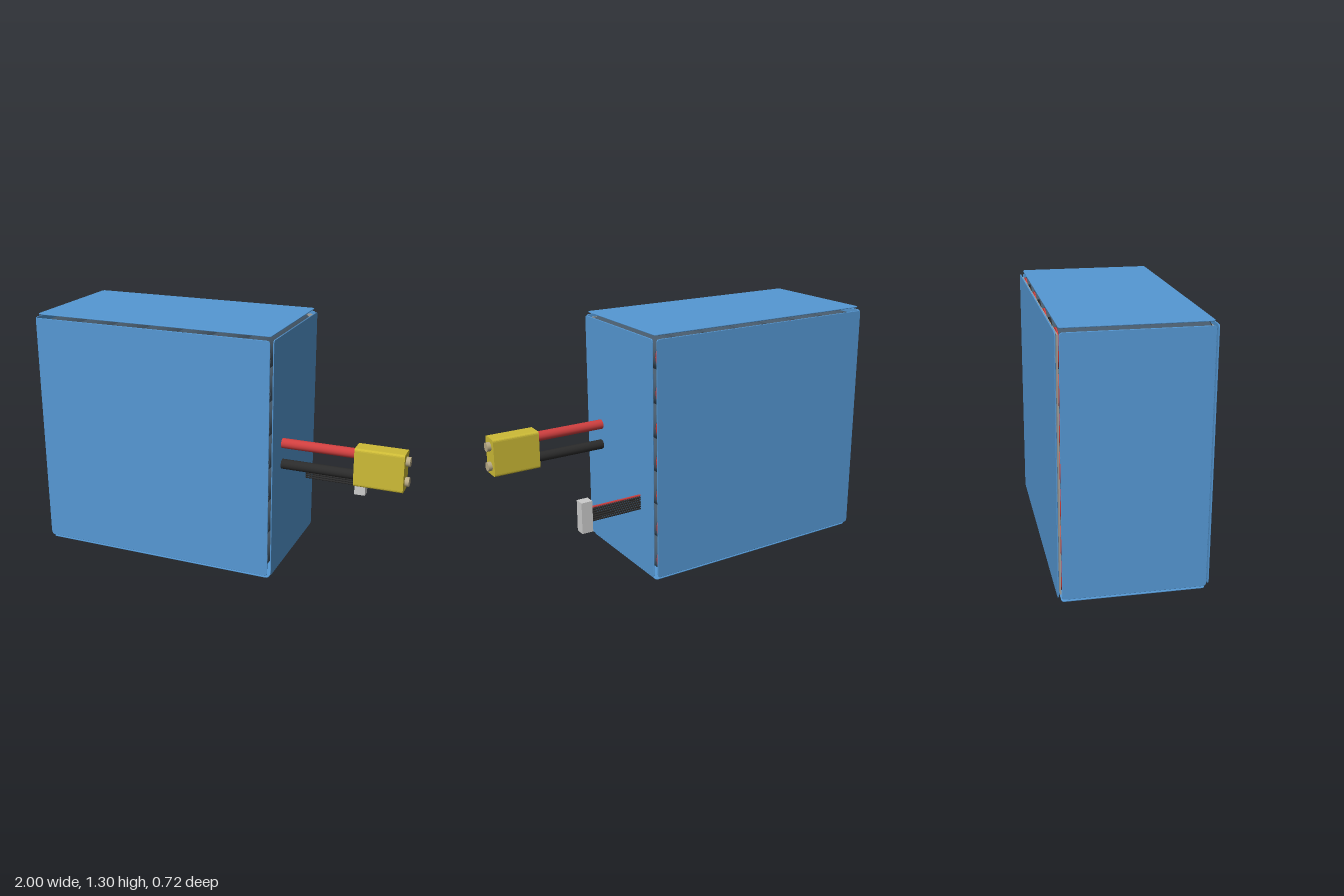
import * as THREE from 'three';

const paint = (name, color) => {
  const m = new THREE.MeshStandardMaterial({ color });
  m.name = name;
  return m;
};

export function createModel() {
  const blue = paint('blue wrap', 0x5598d4);
  const slate = paint('cell sleeve', 0x46596a);
  const nickel = paint('nickel', 0xa6a29c);
  const red = paint('red', 0xcf3f3f);
  const black = paint('black', 0x2b2b2b);
  const yellow = paint('yellow plastic', 0xcdbb36);
  const pinMetal = paint('pin metal', 0xb8aa86);
  const white = paint('pale plastic', 0xcccccc);

  const model = new THREE.Group();
  model.name = 'batteryPack';

  const add = (parent, name, geometry, material, x, y, z) => {
    const mesh = new THREE.Mesh(geometry, material);
    mesh.name = name;
    mesh.position.set(x, y, z);
    parent.add(mesh);
    return mesh;
  };

  // Rounded rectangle slab, centred, with its thickness along z
  const slab = (w, h, t, r, bevel = 0) => {
    const s = new THREE.Shape();
    const a = w / 2 - bevel, b = h / 2 - bevel;
    s.moveTo(-a + r, -b);
    s.lineTo(a - r, -b).quadraticCurveTo(a, -b, a, -b + r);
    s.lineTo(a, b - r).quadraticCurveTo(a, b, a - r, b);
    s.lineTo(-a + r, b).quadraticCurveTo(-a, b, -a, b - r);
    s.lineTo(-a, -b + r).quadraticCurveTo(-a, -b, -a + r, -b);
    const g = new THREE.ExtrudeGeometry(s, {
      depth: t - 2 * bevel, curveSegments: 4, bevelEnabled: bevel > 0,
      bevelThickness: bevel, bevelSize: bevel, bevelSegments: 2
    });
    return g.translate(0, 0, bevel - t / 2);
  };

  // Case: six thin panels with open seams along the edges
  const cx = -0.33, cy = 0.65, W = 1.31, H = 1.26, D = 0.685, T = 0.006;
  const shell = new THREE.Group();
  shell.name = 'casePanels';
  model.add(shell);
  for (const s of [-1, 1]) {
    add(shell, s > 0 ? 'frontPanel' : 'backPanel', slab(W, H, T, 0.015, 0.002), blue, cx, cy, s * 0.357);
    add(shell, s > 0 ? 'leftPanel' : 'rightPanel', slab(D, H, T, 0.015, 0.002), blue, cx + s * 0.667, cy, 0)
      .rotation.y = Math.PI / 2;
    add(shell, s > 0 ? 'topPanel' : 'bottomPanel', slab(W, D, T, 0.015, 0.002), blue, cx, cy + s * 0.647, 0)
      .rotation.x = Math.PI / 2;
  }

  // Cells: a seven by seven grid lying front to back, with end rings
  const cells = new THREE.Group();
  cells.name = 'cells';
  model.add(cells);
  const N = 7, px = 0.187, py = 0.179;
  const cellGeo = new THREE.CylinderGeometry(0.091, 0.091, 0.67, 20).rotateX(Math.PI / 2);
  const ringGeo = new THREE.CylinderGeometry(0.088, 0.088, 0.006, 20).rotateX(Math.PI / 2);
  for (let i = 0; i < N; i++) {
    for (let j = 0; j < N; j++) {
      const x = cx + (i - 3) * px, y = cy + (j - 3) * py;
      add(cells, 'cell', cellGeo, slate, x, y, 0);
      const flip = i % 2 ? 1 : -1;
      add(cells, 'positiveRing', ringGeo, red, x, y, flip * 0.338);
      add(cells, 'negativeRing', ringGeo, black, x, y, -flip * 0.338);
    }
  }

  // Nickel strips joining the cell ends, in offset pairs of columns
  const strip = (i, count, z) => add(cells, 'nickelStrip',
    new THREE.BoxGeometry(px * count - 0.02, H - 0.03, 0.005),
    nickel, cx + (i - 3 + (count - 1) / 2) * px, cy, z);
  for (let i = 0; i < N; i += 2) strip(i, i === 6 ? 1 : 2, 0.345);
  strip(0, 1, -0.345);
  for (let i = 1; i < N; i += 2) strip(i, 2, -0.345);

  // Straight lead running along x
  const lead = (parent, name, material, r, x0, x1, y, z) => {
    const g = new THREE.CylinderGeometry(r, r, x1 - x0, r > 0.01 ? 20 : 8).rotateZ(Math.PI / 2);
    return add(parent, name, g, material, (x0 + x1) / 2, y, z);
  };

  // Main power leads and connector
  const power = new THREE.Group();
  power.name = 'powerConnector';
  model.add(power);
  lead(power, 'positiveLead', red, 0.026, 0.32, 0.74, 0.709, 0.193);
  lead(power, 'negativeLead', black, 0.026, 0.32, 0.74, 0.595, 0.193);
  add(power, 'connectorHousing', slab(0.1, 0.2, 0.25, 0.014), yellow, 0.854, 0.651, 0.193)
    .rotation.y = Math.PI / 2;
  for (const y of [0.704, 0.598]) lead(power, 'contactPin', pinMetal, 0.024, 0.97, 1, y, 0.193);

  // Balance leads and plug
  const balance = new THREE.Group();
  balance.name = 'balanceConnector';
  model.add(balance);
  for (let i = 0; i < 7; i++) {
    lead(balance, 'balanceLead', i === 6 ? red : black, 0.0055, 0.32, 0.64, 0.363 + i * 0.0122, -0.213);
  }
  add(balance, 'balancePlug', new THREE.BoxGeometry(0.06, 0.165, 0.052), white, 0.66, 0.398, -0.213);

  return model;
}
